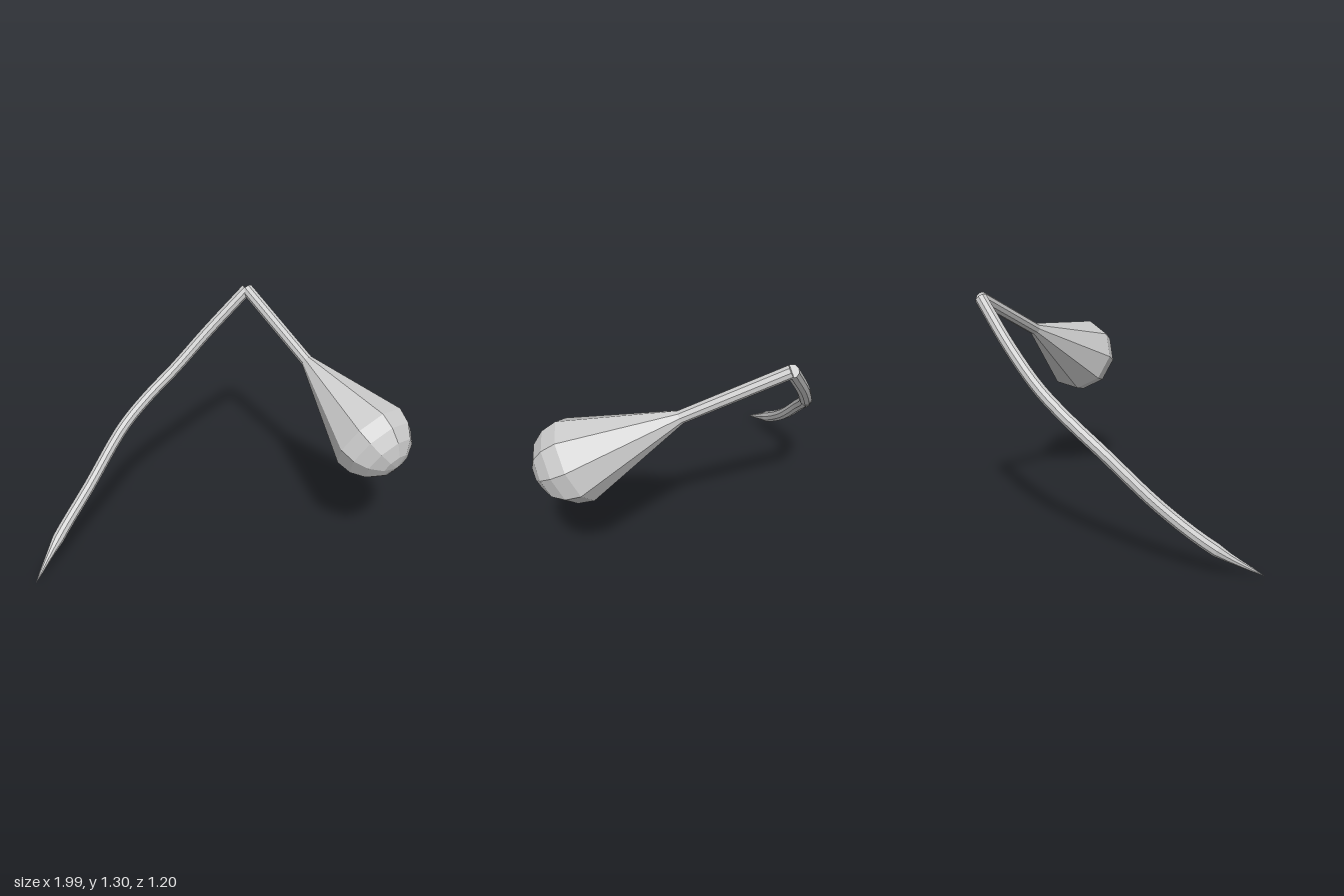
import * as THREE from 'three';

const SIDES = 9;
const ROD = 0.034;
const material = () => new THREE.MeshStandardMaterial({ color: 0xcccccc, flatShading: true });

// Curved stem: a tube whose rings are scaled to taper into a thin pointed tip
function makeStem() {
  const path = new THREE.CatmullRomCurve3([
    [-0.995, 0.01, 0.048], [-0.82, 0.152, -0.13], [-0.6, 0.345, -0.285], [-0.35, 0.6, -0.437],
    [-0.18, 0.735, -0.502], [0, 0.87, -0.543], [0.2, 1.055, -0.568], [0.437, 1.282, -0.57],
  ].map(p => new THREE.Vector3(...p)));
  const N = 30;
  const geo = new THREE.TubeGeometry(path, N, ROD, SIDES);
  const pos = geo.attributes.position;
  const v = new THREE.Vector3();
  const taper = [0.2, 0.3, 0.5, 0.72, 1];
  const end = path.getPointAt(1);
  for (let i = 0; i <= N; i++) {
    const centre = path.getPointAt(i / N);
    for (let j = 0; j <= SIDES; j++) {
      const k = i * (SIDES + 1) + j;
      v.fromBufferAttribute(pos, k).sub(centre);
      if (i < taper.length) v.multiplyScalar(taper[i]);
      v.add(centre);
      if (i === N - 1) v.fromBufferAttribute(pos, k + SIDES + 1); // rim of the flat end
      if (i === N) v.copy(end);                                  // centre of the flat end
      if (i === 0) v.copy(centre);                               // closed tip
      pos.setXYZ(k, v.x, v.y, v.z);
    }
  }
  geo.computeVertexNormals();
  const mesh = new THREE.Mesh(geo, material());
  mesh.name = 'curvedStem';
  return mesh;
}

// Straight arm flaring into a round-ended bulb, turned around one axis
function makeBulbArm() {
  const r = 0.218;
  const profile = [[0, -1.12], [ROD, -1.12], [ROD, -0.555]];
  for (let i = 0; i <= 4; i++) {
    const a = (i / 4) * Math.PI / 2;
    profile.push([i === 4 ? 0 : r * Math.cos(a), r * Math.sin(a)]);
  }
  const geo = new THREE.LatheGeometry(profile.map(p => new THREE.Vector2(...p)), SIDES);
  const mesh = new THREE.Mesh(geo, material());
  mesh.name = 'bulbArm';
  // Lathe axis runs along the arm, with one bulb corner pointing up
  const axis = new THREE.Vector3(0.306, -0.432, 0.847).normalize();
  const side = new THREE.Vector3().crossVectors(axis, new THREE.Vector3(0, 0.89, 0.455)).normalize();
  const up = new THREE.Vector3().crossVectors(side, axis);
  mesh.quaternion.setFromRotationMatrix(new THREE.Matrix4().makeBasis(side, axis, up));
  mesh.position.set(0.782, 0.798, 0.382);
  return mesh;
}

export function createModel() {
  const group = new THREE.Group();
  group.name = 'bulbOnStem';
  group.add(makeStem(), makeBulbArm());
  return group;
}
